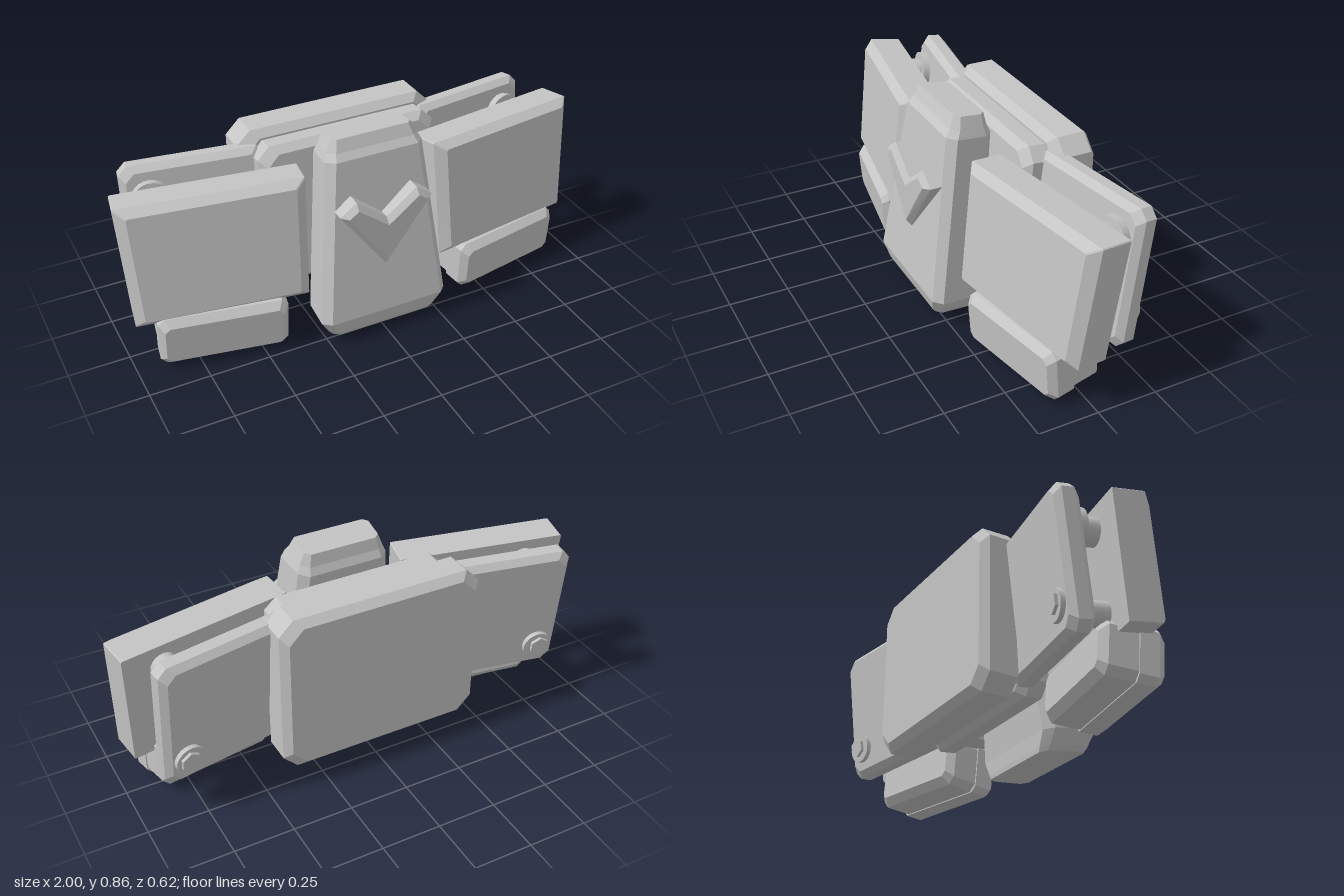
import * as THREE from 'three';

const grey = new THREE.MeshStandardMaterial({ color: 0xc4c4c4 });
grey.name = 'plain grey';

// Flat-shaded loft along z through corner-cut rectangles.
// Each ring is [z, halfWidth, halfHeight, cornerCut, centreY]; taper widens it with y.
function loft(rings, taper = 0) {
  const positions = [];
  const index = [];
  rings.forEach(([z, w, h, c, cy = 0]) => {
    const outline = [
      [w, -h + c], [w, h - c], [w - c, h], [-w + c, h],
      [-w, h - c], [-w, -h + c], [-w + c, -h], [w - c, -h],
    ];
    outline.forEach(([x, y]) => positions.push(x * (1 + taper * (y + cy)), y + cy, z));
  });
  for (let r = 0; r < rings.length - 1; r++) {
    for (let i = 0; i < 8; i++) {
      const a = r * 8 + i, b = r * 8 + (i + 1) % 8;
      index.push(a, b, b + 8, a, b + 8, a + 8);
    }
  }
  const last = (rings.length - 1) * 8;
  for (let i = 1; i < 7; i++) {
    index.push(0, i + 1, i, last, last + i, last + i + 1);
  }
  const geo = new THREE.BufferGeometry();
  geo.setAttribute('position', new THREE.Float32BufferAttribute(positions, 3));
  geo.setIndex(index);
  const flat = geo.toNonIndexed();
  flat.computeVertexNormals();
  return flat;
}

// Slab with chamfered front and back rims
function slab(w, h, d, bevel, corner) {
  const z = d / 2, x = w / 2, y = h / 2;
  return loft([
    [-z, x - bevel, y - bevel, corner],
    [-z + bevel, x, y, corner],
    [z - bevel, x, y, corner],
    [z, x - bevel, y - bevel, corner],
  ]);
}

export function createModel() {
  const model = new THREE.Group();
  model.name = 'armouredBelt';

  function add(name, geo, pos, rot = [0, 0, 0], parent = model) {
    const mesh = new THREE.Mesh(geo, grey);
    mesh.name = name;
    mesh.position.set(...pos);
    mesh.rotation.set(...rot);
    parent.add(mesh);
    return mesh;
  }

  // Central block, lofted upward and leaning back
  const block = loft([
    [-0.425, 0.22, 0.098, 0.025, 0.022],
    [-0.405, 0.235, 0.105, 0.03, 0.015],
    [-0.345, 0.27, 0.115, 0.035],
    [0.34, 0.203, 0.1, 0.035],
    [0.37, 0.19, 0.082, 0.03],
    [0.42, 0.168, 0.066, 0.02],
  ], -0.5);
  block.rotateX(-Math.PI / 2);
  add('centreBlock', block, [0, 0.433, 0.15], [-0.13, 0, 0]);

  // Raised chevron with bevelled edges
  const chevron = new THREE.Shape([
    [0, 0.32], [0.2, 0.59], [0.13, 0.64], [0, 0.54], [-0.13, 0.64], [-0.2, 0.59],
  ].map(([x, y]) => new THREE.Vector2(x, y)));
  add('chevron', new THREE.ExtrudeGeometry(chevron, {
    depth: 0.055, bevelEnabled: true, bevelSegments: 1,
    bevelThickness: 0.022, bevelSize: 0.022, bevelOffset: -0.022,
  }), [0, 0, 0.228]);

  // Back plates
  add('backPlate', slab(0.87, 0.69, 0.175, 0.03, 0.06), [0, 0.445, -0.223]);
  add('innerPlate', slab(0.78, 0.62, 0.13, 0.03, 0.05), [0, 0.45, -0.065], [-0.1, 0, 0]);

  // Parts repeated on both sides
  for (const s of [1, -1]) {
    const side = new THREE.Group();
    side.name = s > 0 ? 'leftSide' : 'rightSide';
    model.add(side);
    const yaw = 0.17 * s;
    const lean = [-0.11, yaw, 0];

    add('rearWing', slab(0.58, 0.58, 0.1, 0.025, 0.035), [0.615 * s, 0.447, -0.16], lean, side);

    // Front armour panel, narrower at the bottom
    add('frontPanel', loft([
      [-0.075, 0.355, 0.255, 0.004],
      [0.055, 0.355, 0.255, 0.004],
      [0.09, 0.315, 0.225, 0.006],
    ], 0.11), [0.63 * s, 0.457, 0.06], lean, side);

    // Lower pouch: body and lid
    const pouch = new THREE.Group();
    pouch.name = 'lowerPouch';
    pouch.position.set(0.635 * s, 0.128, 0.07);
    pouch.rotation.set(0.08, yaw, 0);
    side.add(pouch);
    add('pouchBody', loft([
      [-0.125, 0.225, 0.075, 0.02],
      [-0.095, 0.253, 0.108, 0.03],
      [0.03, 0.253, 0.108, 0.03],
    ]), [0, 0, 0], [0, 0, 0], pouch);
    add('pouchLid', loft([
      [0.02, 0.258, 0.112, 0.025],
      [0.095, 0.258, 0.112, 0.025],
      [0.125, 0.235, 0.085, 0.02],
    ]), [0, 0, 0], [0, 0, 0], pouch);

    // Spacer posts between panel and wing: [x, y, z, radius, length]
    const posts = [
      [0.8, 0.6, -0.125, 0.055, 0.12],
      [0.8, 0.27, -0.115, 0.05, 0.16],
      [0.45, 0.45, -0.04, 0.09, 0.13],
    ];
    posts.forEach(([x, y, z, r, len]) => {
      const post = new THREE.CylinderGeometry(r, r, len, 20);
      post.rotateX(Math.PI / 2);
      add('spacerPost', post, [x * s, y, z], lean, side);
    });
    const washer = new THREE.CylinderGeometry(0.08, 0.08, 0.05, 24);
    washer.rotateX(Math.PI / 2);
    add('washer', washer, [0.8 * s, 0.6, -0.152], lean, side);

    // Round bolt with hexagonal head on the rear
    const disc = new THREE.CylinderGeometry(0.062, 0.062, 0.03, 24);
    const hex = new THREE.CylinderGeometry(0.042, 0.042, 0.03, 6).toNonIndexed();
    hex.computeVertexNormals();
    for (const g of [disc, hex]) g.rotateX(Math.PI / 2);
    add('boltFlange', disc, [0.8 * s, 0.27, -0.228], lean, side);
    add('boltHead', hex, [0.803 * s, 0.272, -0.242], lean, side);
  }
  return model;
}
